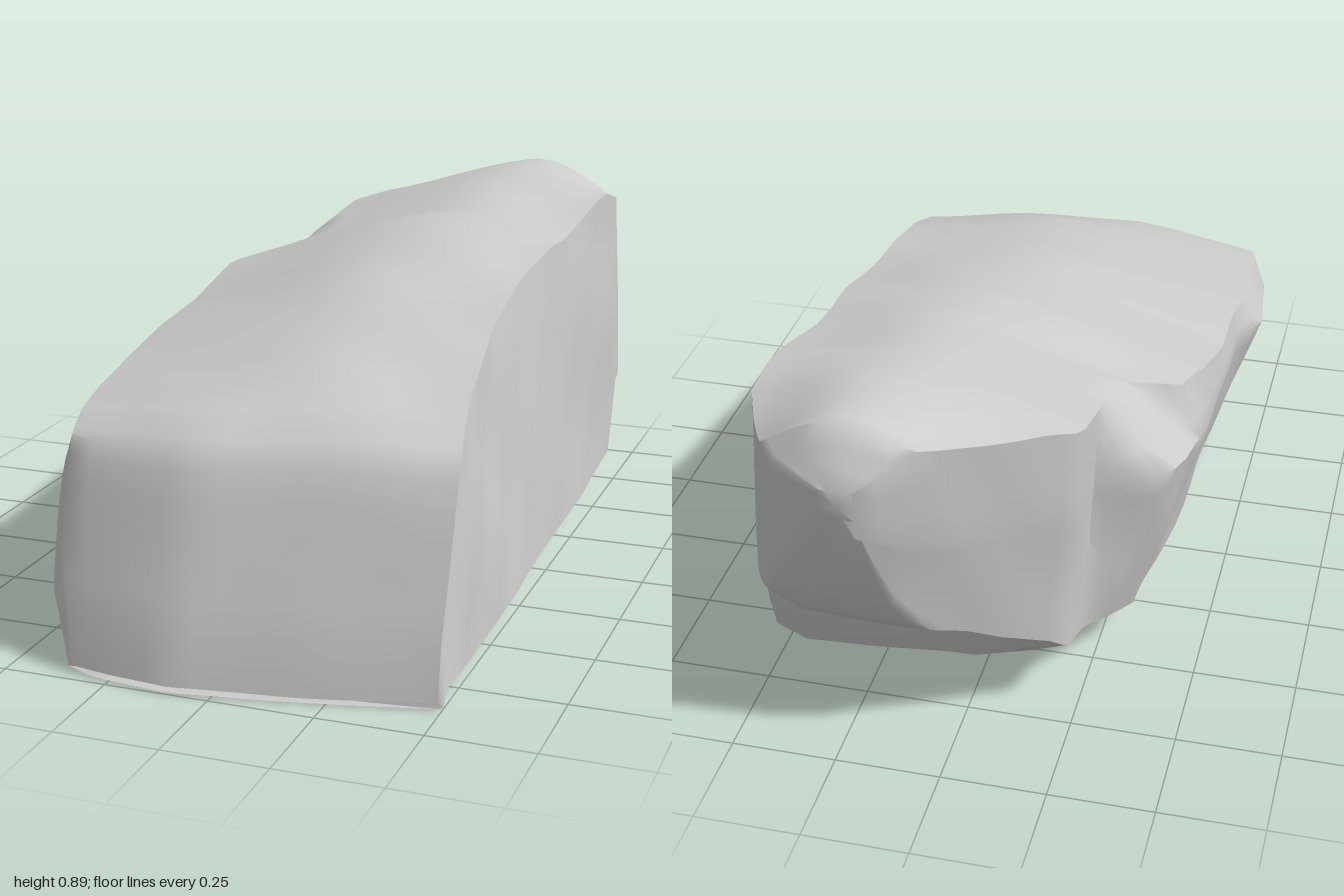
import * as THREE from 'three';
import { toCreasedNormals } from 'three/addons/utils/BufferGeometryUtils.js';

// Piecewise-linear profile along the length: keys are [z, value], front to back
const along = (keys) => (z) => {
  if (z >= keys[0][0]) return keys[0][1];
  for (let i = 1; i < keys.length; i++) {
    const [z0, v0] = keys[i - 1], [z1, v1] = keys[i];
    if (z >= z1) return v0 + (v1 - v0) * (z0 - z) / (z0 - z1);
  }
  return keys[keys.length - 1][1];
};

// Heights: underside (with the undercut at the back), crown, left and right top edges
const bottomY = along([[1, 0], [0.5, 0.012], [0, 0.025], [-0.4, 0.03], [-0.69, 0.06], [-0.715, 0.25],
  [-0.8, 0.28], [-0.9, 0.34], [-0.94, 0.4], [-0.97, 0.52], [-1, 0.68]]);
const crownY = along([[1, 0.015], [0.98, 0.12], [0.92, 0.29], [0.86, 0.46], [0.83, 0.515], [0.8, 0.54], [0.74, 0.58],
  [0.6, 0.63], [0.4, 0.685], [0.2, 0.74], [0, 0.78], [-0.22, 0.83], [-0.4, 0.84], [-0.6, 0.87], [-0.75, 0.888],
  [-0.92, 0.885], [-0.96, 0.82], [-1, 0.75]]);
const leftDrop = along([[1, 0], [0.85, 0.02], [0.7, 0.06], [0.4, 0.11], [0, 0.15], [-0.3, 0.145],
  [-0.4, 0.1], [-0.7, 0.1], [-0.9, 0.06], [-1, 0]]);
const rightDrop = along([[1, 0], [0.6, 0.01], [0, 0.015], [-0.3, 0.045], [-0.6, 0.025], [-0.68, 0.03],
  [-0.76, 0.07], [-0.9, 0.09], [-0.96, 0.05], [-1, 0]]);
// The left foot rises towards the back and dips below the overhang
const leftLift = along([[1, 0.002], [0.9, 0.01], [0.6, 0.01], [0, 0.045], [-0.4, 0.08], [-0.69, 0.12],
  [-0.715, -0.04], [-0.85, 0]]);

// Half outlines in plan: foot, bulge and top edge on the left, foot and top edge on the right
const leftFootX = along([[1, -0.31], [0.95, -0.34], [0.5, -0.36], [0, -0.36], [-0.4, -0.33], [-0.57, -0.24],
  [-0.7, -0.22], [-0.8, -0.1], [-0.9, 0.04], [-1, 0.17]]);
const leftBulgeX = along([[1, -0.36], [0.95, -0.42], [0.88, -0.45], [0.7, -0.49], [0.4, -0.515], [0.2, -0.48],
  [-0.2, -0.47], [-0.4, -0.45], [-0.46, -0.43], [-0.52, -0.37], [-0.57, -0.265], [-0.69, -0.255], [-0.76, -0.18],
  [-0.9, 0], [-0.96, 0.09], [-1, 0.17]]);
const leftTopX = along([[1, -0.35], [0.9, -0.42], [0.7, -0.455], [0.4, -0.47], [0, -0.46], [-0.2, -0.45], [-0.3, -0.41],
  [-0.38, -0.28], [-0.69, -0.255], [-0.76, -0.17], [-0.9, 0.01], [-1, 0.17]]);
const rightFootX = along([[1, 0.5], [0.9, 0.515], [0.4, 0.515], [0, 0.505], [-0.4, 0.5], [-0.75, 0.5],
  [-0.85, 0.45], [-0.94, 0.4], [-1, 0.25]]);
const rightTopX = along([[1, 0.49], [0.85, 0.485], [0.6, 0.455], [0.3, 0.43], [0, 0.425], [-0.4, 0.45],
  [-0.6, 0.47], [-0.75, 0.485], [-0.85, 0.44], [-0.94, 0.39], [-1, 0.24]]);
// How far the front face falls back at each x (keys run from right to left)
const frontSetback = along([[0.5, 0.13], [0.2, 0.06], [-0.1, 0], [-0.25, 0.015], [-0.4, 0.045], [-0.5, 0.09]]);

// Gentle weathering of the surface
const weather = (x, y, z) => 0.005 * Math.sin(7 * x + 5 * z + 1) * Math.cos(8 * y - 4 * z)
  + 0.003 * Math.sin(15 * x - 11 * z) * Math.sin(14 * y + 9 * z);

// One closed cross-section, counterclockwise seen from the front
function section(z) {
  const b = bottomY(z), t = crownY(z), h = t - b;
  const lf = leftFootX(z), lt = leftTopX(z), rf = rightFootX(z), rt = rightTopX(z);
  const chamfer = Math.min(0.05, h * 0.3);
  const leftY = t - leftDrop(z), lift = leftLift(z);
  const v = (x, y) => new THREE.Vector3(x, y, z);
  const topLeft = v(lt, leftY), topRight = v(rt, t - rightDrop(z));
  const footLeft = v(lf, b + lift), keel = v(lf + (rf - lf) * 0.3, b + lift * 0.3);
  const footRight = v(rf - chamfer * 1.5, b + chamfer * 0.25), heel = v(rf, b + chamfer);
  const bulge = v(leftBulgeX(z), b + (Math.min(leftY, 0.63) - b) * 0.86);
  const crown = v(lt + (rt - lt) * 0.58, t);
  const pieces = [
    [new THREE.LineCurve3(footLeft, keel), 5],
    [new THREE.LineCurve3(keel, footRight), 8],
    [new THREE.LineCurve3(footRight, heel), 2],
    [new THREE.LineCurve3(heel, topRight), 10],
    [new THREE.CatmullRomCurve3([topRight, crown, topLeft]), 16],
    [new THREE.LineCurve3(topLeft, bulge), 3],
    [new THREE.LineCurve3(bulge, footLeft), 8],
  ];
  return pieces.flatMap(([curve, n]) => curve.getPoints(n).slice(0, n));
}

function boulderGeometry() {
  const steps = 80, positions = [], index = [];
  let n = 0;
  const centers = [];
  for (let i = 0; i <= steps; i++) {
    const z = 1 - 2 * i / steps;
    const ring = section(z);
    n = ring.length;
    const centre = new THREE.Vector3();
    for (const p of ring) {
      const d = weather(p.x, p.y, z);
      const front = THREE.MathUtils.smoothstep(z, 0.2, 0.85);
      p.set(p.x + d, Math.max(0, p.y + d), z - frontSetback(p.x) * front);
      centre.addScaledVector(p, 1 / n);
      positions.push(p.x, p.y, p.z);
    }
    centers.push(centre);
  }
  // Skin between neighbouring sections
  for (let i = 0; i < steps; i++) {
    for (let j = 0; j < n; j++) {
      const a = i * n + j, b = i * n + (j + 1) % n;
      index.push(a, a + n, b, b, a + n, b + n);
    }
  }
  // Close both ends
  const first = (steps + 1) * n, last = steps * n;
  positions.push(...centers[0].toArray(), ...centers[steps].toArray());
  for (let j = 0; j < n; j++) {
    const k = (j + 1) % n;
    index.push(first, j, k, first + 1, last + k, last + j);
  }
  const geometry = new THREE.BufferGeometry();
  geometry.setAttribute('position', new THREE.Float32BufferAttribute(positions, 3));
  geometry.setIndex(index);
  return toCreasedNormals(geometry, 0.75);
}

export function createModel() {
  const group = new THREE.Group();
  group.name = 'rock';
  const boulder = new THREE.Mesh(boulderGeometry(), new THREE.MeshStandardMaterial({ color: 0xcccccc }));
  boulder.name = 'boulder';
  group.add(boulder);
  return group;
}
